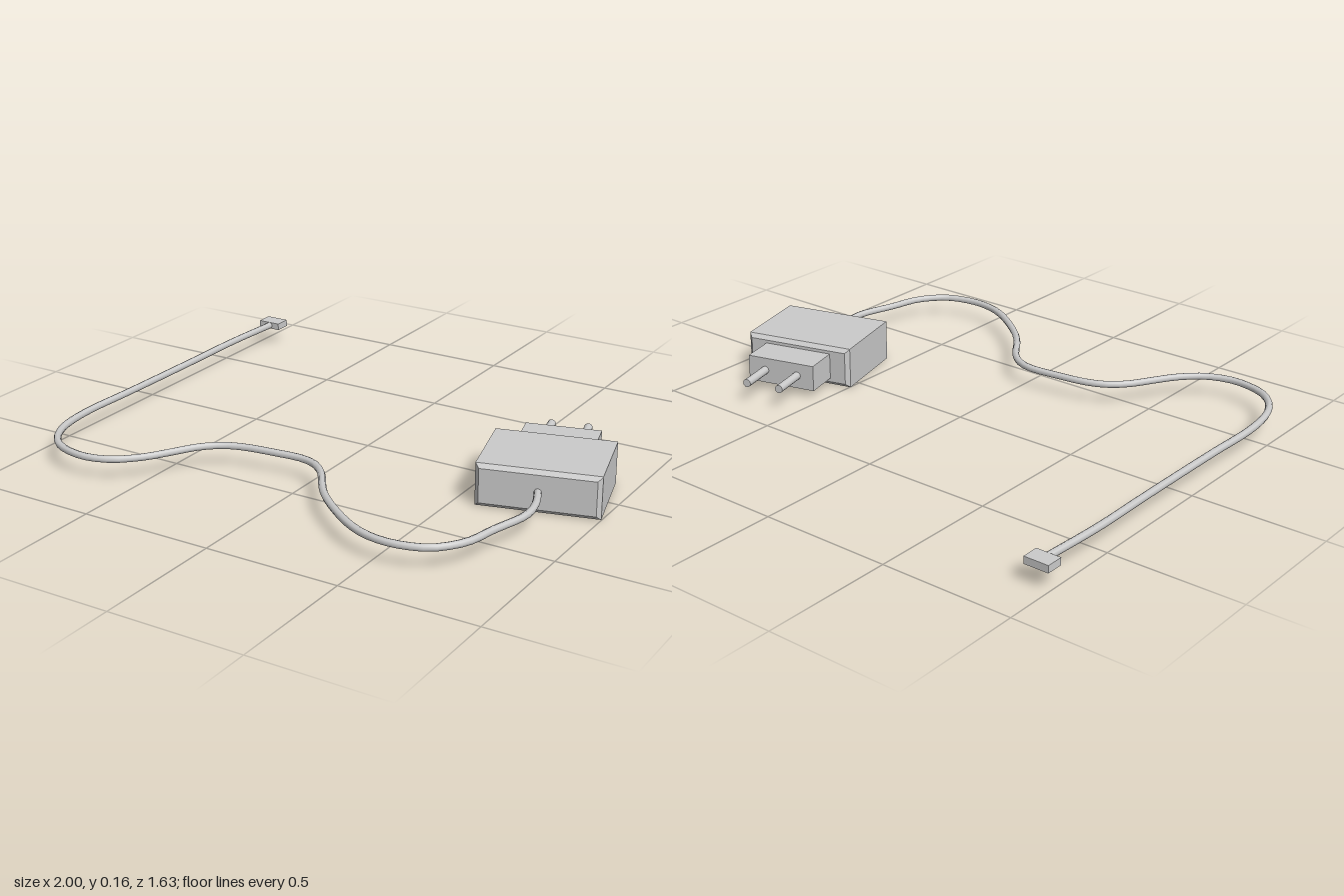
import * as THREE from 'three';

const MID = 0.08; // height of cable, pins and plug centre

export function createModel() {
  const root = new THREE.Group();
  const flat = new THREE.MeshStandardMaterial({ color: 0xcccccc, flatShading: true });
  const smooth = new THREE.MeshStandardMaterial({ color: 0xcccccc });

  const add = (parent, name, geometry, material, x, y, z) => {
    const mesh = new THREE.Mesh(geometry, material);
    mesh.name = name;
    mesh.position.set(x, y, z);
    parent.add(mesh);
    return mesh;
  };

  // Power adapter, turned on the ground
  const adapter = new THREE.Group();
  adapter.name = 'powerAdapter';
  adapter.position.set(0.748, 0, 0.045);
  adapter.rotation.y = THREE.MathUtils.degToRad(15);
  root.add(adapter);

  // Housing with chamfered front and back rims
  const w = 0.434, h = 0.157, d = 0.345, c = 0.015;
  const outline = new THREE.Shape([
    new THREE.Vector2(-w / 2, 0), new THREE.Vector2(w / 2, 0),
    new THREE.Vector2(w / 2, h), new THREE.Vector2(-w / 2, h),
  ]);
  const housing = new THREE.ExtrudeGeometry(outline, {
    depth: d - 2 * c, bevelEnabled: true, bevelSegments: 1,
    bevelThickness: c, bevelSize: c, bevelOffset: -c,
  });
  add(adapter, 'housing', housing, flat, 0, 0, -d / 2 + c);

  // Plug block and two round pins
  add(adapter, 'plugBlock', new THREE.BoxGeometry(0.276, 0.1, 0.15), flat, 0, MID, -0.232);
  for (const side of [-1, 1]) {
    const pin = new THREE.CylinderGeometry(0.0155, 0.0155, 0.17, 12).rotateX(Math.PI / 2);
    add(adapter, side < 0 ? 'rightPin' : 'leftPin', pin, smooth, side * 0.068, MID + 0.001, -0.36);
    const cap = new THREE.CircleGeometry(0.0155, 12).rotateY(Math.PI);
    add(adapter, 'pinTip', cap, flat, side * 0.068, MID + 0.001, -0.4455);
  }

  // Cable winding across the ground plane, as x, z pairs
  const path = [
    [0.785, 0.19], [0.83, 0.3], [0.842, 0.39], [0.8, 0.55], [0.778, 0.65], [0.745, 0.71],
    [0.69, 0.765], [0.61, 0.793], [0.54, 0.798], [0.46, 0.783], [0.375, 0.742], [0.22, 0.622],
    [0.16, 0.555], [0.09, 0.455], [0.035, 0.405], [-0.03, 0.382], [-0.15, 0.388],
    [-0.28, 0.406], [-0.35, 0.435], [-0.41, 0.49], [-0.46, 0.57], [-0.51, 0.65],
    [-0.55, 0.695], [-0.6, 0.735], [-0.68, 0.762], [-0.75, 0.76], [-0.84, 0.73],
    [-0.9, 0.675], [-0.94, 0.6], [-0.96, 0.52], [-0.97, 0.4], [-0.965, 0.2],
    [-0.962, -0.2], [-0.963, -0.5], [-0.95, -0.76],
  ];
  const curve = new THREE.CatmullRomCurve3(path.map(([x, z]) => new THREE.Vector3(x, 0, z)));
  add(root, 'cable', new THREE.TubeGeometry(curve, 100, 0.0135, 8), smooth, 0, MID, 0);

  // Flat connector at the far end
  add(root, 'connector', new THREE.BoxGeometry(0.094, 0.027, 0.065), flat, -0.953, MID, -0.783);

  return root;
}
